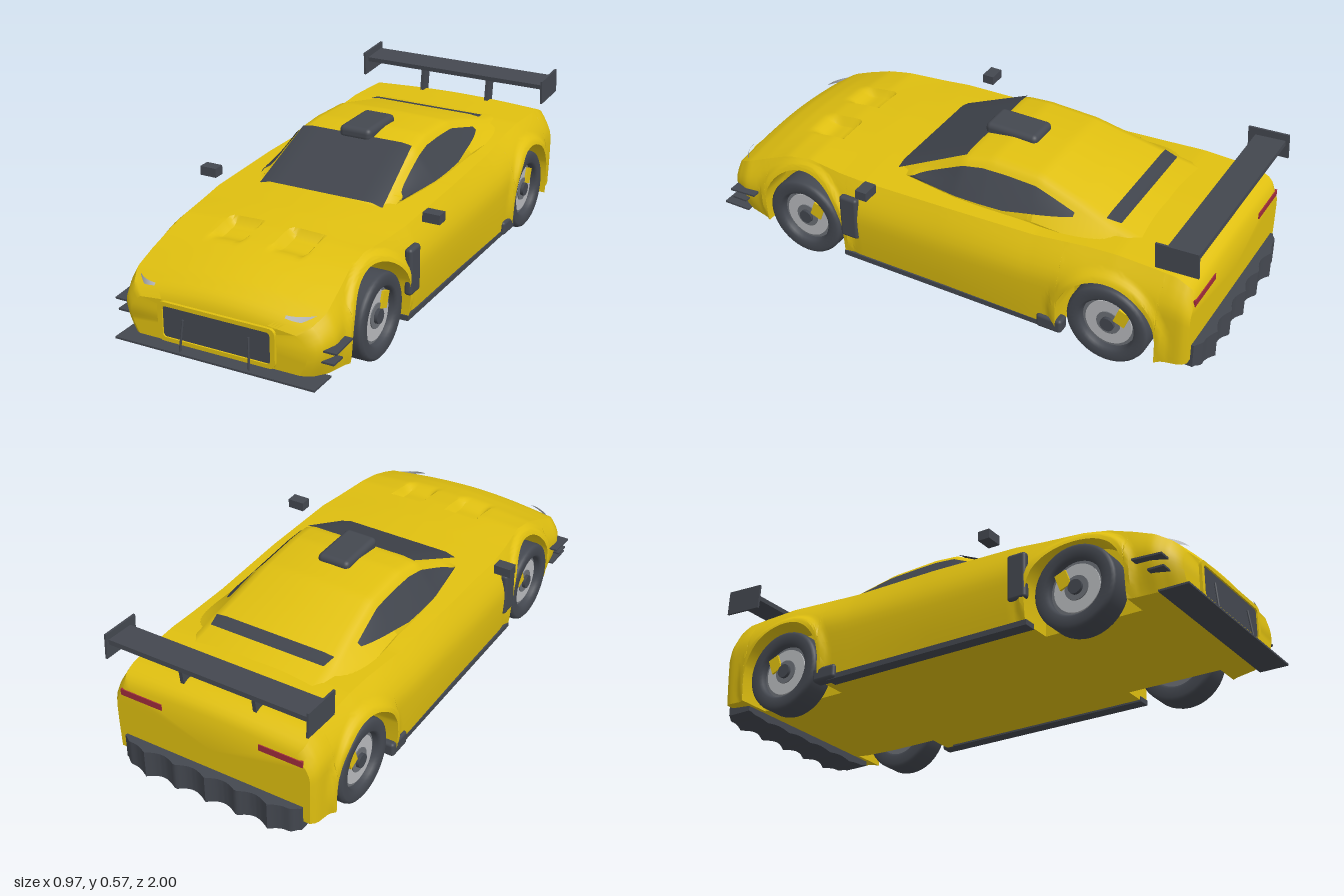
import * as THREE from 'three';
import { toCreasedNormals } from 'three/addons/utils/BufferGeometryUtils.js';
import { RoundedBoxGeometry } from 'three/addons/geometries/RoundedBoxGeometry.js';

const mat = (name, color, side = THREE.FrontSide) => {
  const m = new THREE.MeshStandardMaterial({ color, side });
  m.name = name;
  return m;
};

// Piecewise linear lookup in rows keyed by descending z
function lookup(rows, z) {
  let i = 0;
  while (i < rows.length - 2 && z < rows[i + 1][0]) i++;
  const a = rows[i], b = rows[i + 1];
  const t = THREE.MathUtils.clamp((a[0] - z) / (a[0] - b[0]), 0, 1);
  return a.map((v, k) => v + (b[k] - v) * t);
}

// Skin through cross-sections ordered front to back, each running counter-clockwise
function loft(sections, caps = false, crease = 0.6) {
  const n = sections[0].length, pos = sections.flat(2), idx = [];
  for (let i = 0; i < sections.length - 1; i++)
    for (let j = 0; j < n - 1; j++) {
      const a = i * n + j, d = a + n;
      idx.push(a, d, a + 1, a + 1, d, d + 1);
    }
  if (caps) {
    [0, sections.length - 1].forEach((s, k) => {
      const p = sections[s], c = pos.length / 3;
      pos.push(0, (p[0][1] + p[(n - 1) / 2][1]) / 2, p[0][2]);
      for (let j = 0; j < n - 1; j++) {
        const a = s * n + j;
        k ? idx.push(c, a + 1, a) : idx.push(c, a, a + 1);
      }
    });
  }
  const g = new THREE.BufferGeometry();
  g.setAttribute('position', new THREE.Float32BufferAttribute(pos, 3));
  g.setIndex(idx);
  return toCreasedNormals(g, crease);
}
const mirrored = half => [...half, ...half.slice(0, -1).reverse().map(([x, y, z]) => [-x, y, z])];
const range = (a, b, n) => Array.from({ length: n + 1 }, (_, i) => a + (b - a) * i / n);

const WHEELS = [0.596, -0.657], WHEEL_Y = 0.155, ARCH = 0.185;

// z, floor, sill half-width, waist half-width, waist y, shoulder half-width, shoulder y, centre y
const BODY = [
  [0.962, 0.085, 0.31, 0.34, 0.17, 0.30, 0.225, 0.245],
  [0.94, 0.078, 0.34, 0.375, 0.18, 0.34, 0.25, 0.28],
  [0.88, 0.07, 0.37, 0.40, 0.19, 0.365, 0.285, 0.318],
  [0.80, 0.065, 0.385, 0.395, 0.2, 0.36, 0.32, 0.35],
  [0.70, 0.065, 0.38, 0.385, 0.24, 0.35, 0.36, 0.378],
  [0.60, 0.065, 0.385, 0.39, 0.24, 0.35, 0.38, 0.392],
  [0.45, 0.065, 0.405, 0.415, 0.24, 0.37, 0.38, 0.40],
  [0.35, 0.065, 0.415, 0.43, 0.24, 0.38, 0.385, 0.402],
  [0, 0.065, 0.415, 0.43, 0.24, 0.38, 0.395, 0.41],
  [-0.35, 0.065, 0.42, 0.43, 0.25, 0.37, 0.40, 0.42],
  [-0.55, 0.065, 0.42, 0.43, 0.28, 0.36, 0.418, 0.43],
  [-0.66, 0.065, 0.415, 0.425, 0.29, 0.36, 0.425, 0.435],
  [-0.80, 0.07, 0.41, 0.415, 0.29, 0.36, 0.42, 0.43],
  [-0.88, 0.08, 0.405, 0.41, 0.29, 0.36, 0.415, 0.428],
  [-0.93, 0.085, 0.40, 0.405, 0.28, 0.36, 0.39, 0.405],
  [-0.95, 0.09, 0.385, 0.39, 0.27, 0.34, 0.36, 0.375],
];

// Two hood ducts that deepen rearwards to a step
function ductDepth(x, z) {
  if (z > 0.735 || z < 0.56) return 0;
  const s = THREE.MathUtils.smoothstep;
  return 0.03 * s(0.735 - z, 0, 0.09) * s(z, 0.56, 0.58) * s(Math.abs(x), 0.05, 0.075) * (1 - s(Math.abs(x), 0.165, 0.19));
}

function bodySection(z) {
  const [, yb, wBot, wMid, yMid, wSh, ySh, yTop] = lookup(BODY, z);
  const near = WHEELS.find(w => Math.abs(z - w) < ARCH);
  const ya = near === undefined ? yb : WHEEL_Y + Math.sqrt(ARCH ** 2 - (z - near) ** 2);
  const sideX = y => {
    const x = y < yMid
      ? wBot + (wMid - wBot) * Math.sin((y - yb) / (yMid - yb) * Math.PI / 2)
      : wSh + (wMid - wSh) * Math.cos((y - yMid) / (ySh - yMid) * Math.PI / 2);
    const r = Math.min(...WHEELS.map(w => Math.hypot(z - w, y - WHEEL_Y)));
    return x + 0.014 * (1 - THREE.MathUtils.smoothstep(r, 0.2, 0.225));
  };
  const xi = Math.min(0.29, wBot - 0.02);
  const half = [[0, yb, z], [xi, yb, z], [xi, ya, z]];
  for (const y of range(ya, ySh, 12)) half.push([sideX(y), y, z]);
  const edge = sideX(ySh);
  for (const t of range(0, 1, 28).slice(1)) {
    const x = edge * (1 - t);
    half.push([x, ySh + (yTop - ySh) * Math.sin(t * Math.PI / 2) - ductDepth(x, z), z]);
  }
  return mirrored(half);
}

// z, base half-width, roof half-width, roof y
const CABIN = [
  [0.30, 0.26, 0.25, 0.385], [0.28, 0.27, 0.25, 0.40], [0, 0.315, 0.245, 0.53],
  [-0.1, 0.32, 0.235, 0.545], [-0.29, 0.32, 0.235, 0.537], [-0.45, 0.33, 0.25, 0.495],
  [-0.6, 0.34, 0.27, 0.452], [-0.75, 0.34, 0.28, 0.42],
];
function cabinSection(z) {
  const [, wB, wT, y] = lookup(CABIN, z);
  return mirrored([[wB, 0.36, z], [wB, Math.min(0.41, y - 0.03), z], [wT, y - 0.025, z],
    [wT - 0.012, y - 0.011, z], [wT - 0.04, y - 0.003, z], [0, y, z]]);
}
function cabinSideX(z, y) {
  const [, wB, wT, top] = lookup(CABIN, z);
  const y0 = Math.min(0.41, top - 0.03);
  return THREE.MathUtils.mapLinear(Math.max(y, y0), y0, top - 0.025, wB, wT);
}

export function createModel() {
  const car = new THREE.Group();
  car.name = 'raceCar';
  const yellow = mat('bodyYellow', 0xe0c010);
  const dark = mat('darkTrim', 0x444850);
  const glass = mat('darkGlass', 0x40444c, THREE.DoubleSide);
  const silver = mat('silver', 0xb8babd, THREE.DoubleSide);
  const grey = mat('rimGrey', 0x6c7076);
  const red = mat('tailRed', 0xa02c3c);
  const add = (name, geo, m, x = 0, y = 0, z = 0, parent = car) => {
    const mesh = new THREE.Mesh(geo, m);
    mesh.name = name;
    mesh.position.set(x, y, z);
    parent.add(mesh);
    return mesh;
  };
  const box = (w, h, d, r = 0) => r ? new RoundedBoxGeometry(w, h, d, 3, r) : new THREE.BoxGeometry(w, h, d);

  // Body shell with wheel wells; extra stations make the well ends vertical
  const stations = range(0.962, -0.95, 128);
  for (const w of WHEELS) for (const s of [-1, 1]) stations.push(w + s * ARCH * 0.999, w + s * ARCH * 1.001, w + s * ARCH * 0.96);
  stations.sort((a, b) => b - a);
  add('body', loft(stations.map(bodySection), true), yellow);
  add('cabin', loft(range(0.30, -0.75, 60).map(cabinSection), false, 0.7), yellow);

  // Windscreen and rear window, laid on the cabin
  const topGlass = (z0, z1, w0, w1) => loft(range(z0, z1, 14).map((z, i) => {
    const w = w0 + (w1 - w0) * i / 14, [, , wT, y] = lookup(CABIN, z);
    return range(w, -w, 12).map(x => [x, y + 0.005 - 0.012 * Math.max(0, (Math.abs(x) - wT + 0.04) / 0.04), z]);
  }));
  add('windscreen', topGlass(0.277, 0.0, 0.25, 0.225), glass);
  add('rearWindow', topGlass(-0.56, -0.612, 0.24, 0.23), glass);
  add('roofScoop', box(0.13, 0.05, 0.21, 0.02), dark, 0, 0.54, -0.085);

  // Grille with raised surround
  const roundRect = (P, w, y0, y1, r) => {
    const p = new P();
    p.moveTo(-w + r, y0).lineTo(w - r, y0).quadraticCurveTo(w, y0, w, y0 + r).lineTo(w, y1 - r)
      .quadraticCurveTo(w, y1, w - r, y1).lineTo(-w + r, y1).quadraticCurveTo(-w, y1, -w, y1 - r)
      .lineTo(-w, y0 + r).quadraticCurveTo(-w, y0, -w + r, y0);
    return p;
  };
  const surround = roundRect(THREE.Shape, 0.225, 0.088, 0.232, 0.025);
  surround.holes.push(roundRect(THREE.Path, 0.207, 0.103, 0.217, 0.015));
  add('grilleSurround', new THREE.ExtrudeGeometry(surround, { depth: 0.025, bevelEnabled: false }), yellow, 0, 0, 0.948);
  add('grille', new THREE.ExtrudeGeometry(roundRect(THREE.Shape, 0.207, 0.103, 0.217, 0.015), { depth: 0.008, bevelEnabled: false }), dark, 0, 0, 0.959);
  add('splitter', box(0.77, 0.007, 0.11), dark, 0, 0.067, 0.945);

  // Scalloped diffuser
  const diff = new THREE.BoxGeometry(0.72, 0.1, 0.12, 72, 4, 4);
  const p = diff.attributes.position;
  for (let i = 0; i < p.count; i++) {
    const x = p.getX(i), peak = 1 - Math.abs(Math.sin(Math.PI * x / 0.125));
    const end = THREE.MathUtils.smoothstep(Math.abs(x), 0.32, 0.36);
    if (p.getZ(i) < -0.05) p.setZ(i, p.getZ(i) - 0.02 * peak * (1 - end) + 0.02 * end);
    if (p.getY(i) < -0.04) p.setY(i, p.getY(i) - 0.008 * peak + 0.012 * end);
  }
  add('diffuser', toCreasedNormals(diff, 0.6), dark, 0, 0.102, -0.92);

  // Rear wing
  add('wingBlade', box(0.79, 0.018, 0.115), dark, 0, 0.528, -0.897).rotation.x = 0.08;

  const tire = new THREE.LatheGeometry([[0.1, -0.05], [0.11, -0.055], [0.142, -0.055], [0.152, -0.048], [0.155, -0.038],
    [0.155, 0.038], [0.152, 0.048], [0.142, 0.055], [0.112, 0.055], [0.102, 0.045], [0.1, 0.02]]
    .map(([r, y]) => new THREE.Vector2(r, y)), 40);

  for (const s of [1, -1]) {
    const side = s > 0 ? 'left' : 'right';
    // Side window between the belt line and the roof edge
    const win = range(0.22, -0.45, 40).map(z => {
      const top = lookup(CABIN, z)[3];
      const lo = z > -0.2 ? 0.402 + (0.22 - z) * 0.03 : 0.415 + (-0.2 - z) * 0.15;
      const hi = Math.max(lo, Math.min(top - 0.032, 0.51));
      return range(lo, hi, 4).map(y => [s * (cabinSideX(z, y) + 0.005), y, z]);
    });
    add(side + 'Window', loft(win), glass);
    add(side + 'Mirror', box(0.066, 0.035, 0.045), dark, s * 0.452, 0.408, 0.285);

    // Headlight and tail light
    const lamp = [0.277, 0.25].map((y, k) => range(0, 1, 8).map(t => {
      const x = 0.25 + 0.098 * t;
      return [s * x, y + (k ? 0.02 * (1 - t) : 0), 0.948 - 0.05 * t * t - (k ? 0 : 0.008)];
    }));
    add(side + 'Headlight', loft(lamp), silver);
    add(side + 'TailLight', box(0.17, 0.024, 0.008), red, s * 0.28, 0.335, -0.95);

    // Fender vent, sill and rear sill kick
    add(side + 'FenderVent', box(0.03, 0.175, 0.075, 0.012), dark, s * 0.421, 0.243, 0.382);
    add(side + 'Sill', box(0.05, 0.02, 0.85), dark, s * 0.398, 0.068, -0.01);
    add(side + 'SillKick', box(0.05, 0.055, 0.1, 0.012), dark, s * 0.41, 0.087, -0.445);

    // Dive planes and splitter struts
    add(side + 'UpperDivePlane', box(0.05, 0.007, 0.11), dark, s * 0.402, 0.178, 0.875).rotation.x = 0.06;
    add(side + 'LowerDivePlane', box(0.05, 0.007, 0.06), dark, s * 0.392, 0.135, 0.9);
    const strut = add(side + 'Strut', new THREE.CylinderGeometry(0.004, 0.004, 0.115, 8), dark, s * 0.13, 0.125, 0.978);
    strut.rotation.set(-0.12, 0, s * 0.07);

    // Wing end plate and support
    add(side + 'EndPlate', box(0.008, 0.095, 0.155), dark, s * 0.397, 0.515, -0.89).rotation.x = 0.06;
    add(side + 'WingSupport', box(0.014, 0.12, 0.05), dark, s * 0.145, 0.47, -0.875).rotation.x = -0.12;

    // Wheels, built with the axle pointing outward
    WHEELS.forEach((z, k) => {
      const wheel = new THREE.Group();
      wheel.name = side + (k ? 'RearWheel' : 'FrontWheel');
      wheel.position.set(s * 0.363, WHEEL_Y, z);
      const disc = (name, r, h, y, m) => add(name, new THREE.CylinderGeometry(r, r, h, 32), m, 0, y, 0, wheel);
      const axle = new THREE.Group();
      add('tire', tire, dark, 0, 0, 0, wheel);
      disc('rim', 0.102, 0.07, -0.01, grey);
      disc('brakeDisc', 0.088, 0.01, 0.026, silver);
      disc('hubRing', 0.045, 0.01, 0.03, grey);
      disc('hub', 0.026, 0.025, 0.035, dark);
      wheel.rotation.z = -s * Math.PI / 2;
      axle.name = wheel.name + 'Assembly';
      axle.add(wheel);
      add('caliper', box(0.014, 0.06, 0.045), yellow, s * 0.395, 0.195, z - 0.05, axle).rotation.x = -0.35;
      car.add(axle);
    });
  }
  return car;
}
